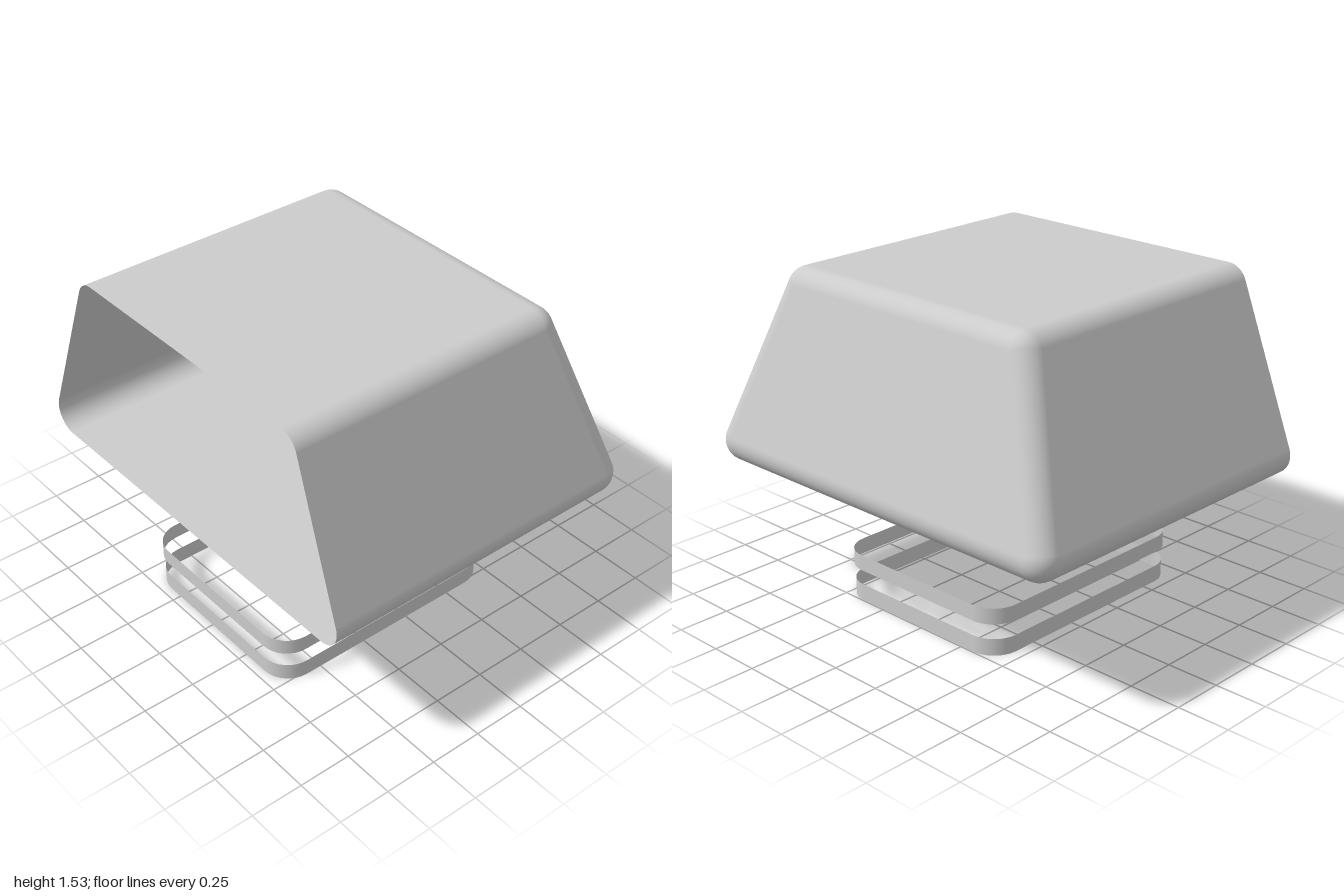
import * as THREE from 'three';

const R = 0.1;                       // fillet radius of the hood
const LOW = 0.715, HIGH = 1.43;      // heights of the fillet centres
const OPEN_X = -0.813;               // plane of the open side

// Great-circle blend between two unit directions
function slerp(a, b, t) {
  const w = a.angleTo(b), s = Math.sin(w);
  return a.clone().multiplyScalar(Math.sin((1 - t) * w) / s)
    .addScaledVector(b, Math.sin(t * w) / s);
}

// Tapered, rounded shell: four fillet corners swept from the open side to the end wall
function hoodGeometry() {
  const K = 10;
  const v = (x, y, z) => new THREE.Vector3(x, y, z);
  const top = v(0, 1, 0), bottom = v(0, -1, 0);
  const front = v(0, 0.23, 0.715).normalize();
  const back = v(0, 0.285, -0.715).normalize();
  const end = v(0.715, 0.215, 0).normalize();
  const corners = [
    { c: v(0.495, HIGH, 0.67), from: top, to: front },
    { c: v(0.71, LOW, 0.9), from: front, to: bottom },
    { c: v(0.71, LOW, -0.9), from: bottom, to: back },
    { c: v(0.495, HIGH, -0.615), from: back, to: top },
  ];
  const pos = [], nor = [], idx = [];
  const rows = K + 2, cols = 4 * (K + 1);
  for (const { c, from, to } of corners) {
    for (let i = 0; i <= K; i++) {
      const d = slerp(from, to, i / K);
      for (let j = 0; j < rows; j++) {
        const n = j === 0 ? d : slerp(d, end, (j - 1) / K);
        const p = c.clone().addScaledVector(n, R);
        if (j === 0) p.x = OPEN_X;
        pos.push(p.x, p.y, p.z);
        nor.push(n.x, n.y, n.z);
      }
    }
  }
  for (let i = 0; i < cols; i++) {
    for (let j = 0; j < rows - 1; j++) {
      const a = i * rows + j, b = ((i + 1) % cols) * rows + j;
      idx.push(a, b, a + 1, b, b + 1, a + 1);
    }
  }
  // Flat end wall between the four corner poles
  const [p, q, r, s] = [0, 1, 2, 3].map(k => k * (K + 1) * rows + rows - 1);
  idx.push(p, q, r, p, r, s);
  const g = new THREE.BufferGeometry();
  g.setAttribute('position', new THREE.Float32BufferAttribute(pos, 3));
  g.setAttribute('normal', new THREE.Float32BufferAttribute(nor, 3));
  g.setIndex(idx);
  return g;
}

// Thin upright strip following a rounded rectangle
function bandGeometry(x0, x1, z0, z1, radius, y0, y1) {
  const K = 8, pos = [], nor = [], idx = [];
  const centres = [
    [x1 - radius, z1 - radius], [x0 + radius, z1 - radius],
    [x0 + radius, z0 + radius], [x1 - radius, z0 + radius],
  ];
  centres.forEach(([cx, cz], k) => {
    for (let i = 0; i <= K; i++) {
      const a = (k + i / K) * Math.PI / 2, c = Math.cos(a), s = Math.sin(a);
      for (const y of [y0, y1]) {
        pos.push(cx + radius * c, y, cz + radius * s);
        nor.push(c, 0, s);
      }
    }
  });
  const n = 4 * (K + 1);
  for (let i = 0; i < n; i++) {
    const a = 2 * i, b = 2 * ((i + 1) % n);
    idx.push(a, a + 1, b, b, a + 1, b + 1);
  }
  const g = new THREE.BufferGeometry();
  g.setAttribute('position', new THREE.Float32BufferAttribute(pos, 3));
  g.setAttribute('normal', new THREE.Float32BufferAttribute(nor, 3));
  g.setIndex(idx);
  return g;
}

export function createModel() {
  const grey = new THREE.MeshStandardMaterial({ color: 0xcccccc, side: THREE.DoubleSide });
  grey.name = 'light grey';
  const model = new THREE.Group();
  model.name = 'hoodWithBands';
  const add = (name, geometry) => {
    const mesh = new THREE.Mesh(geometry, grey);
    mesh.name = name;
    model.add(mesh);
  };

  add('hood', hoodGeometry());
  add('upperBand', bandGeometry(-0.713, 0.5, -0.452, 0.517, 0.13, 0.153, 0.228));
  add('lowerBand', bandGeometry(-0.708, 0.495, -0.45, 0.515, 0.13, 0, 0.08));
  return model;
}
